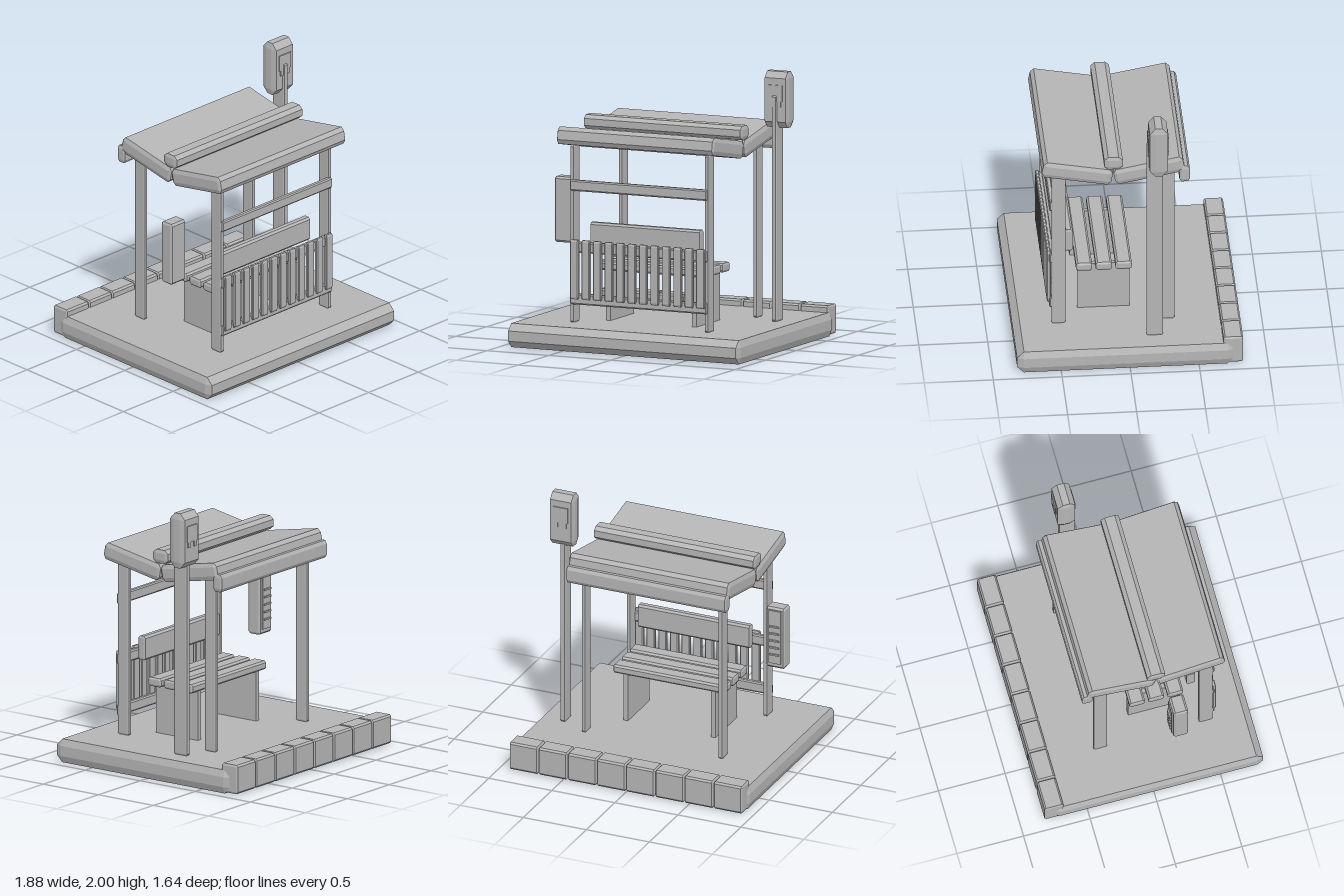
import * as THREE from 'three';
import { ConvexGeometry } from 'three/addons/geometries/ConvexGeometry.js';

// Box with chamfered edges; the chamfer may differ along each axis
function chamferBox(w, h, d, bx, by, bz) {
  const pts = [];
  for (const sx of [-1, 1]) for (const sy of [-1, 1]) for (const sz of [-1, 1]) {
    const x = w / 2, y = h / 2, z = d / 2;
    pts.push(new THREE.Vector3(sx * x, sy * (y - by), sz * (z - bz)));
    pts.push(new THREE.Vector3(sx * (x - bx), sy * y, sz * (z - bz)));
    pts.push(new THREE.Vector3(sx * (x - bx), sy * (y - by), sz * z));
  }
  return new ConvexGeometry(pts);
}

export function createModel() {
  const root = new THREE.Group();
  root.name = 'busShelter';
  const grey = new THREE.MeshStandardMaterial({ color: 0xb4b4b4 });
  grey.name = 'plain grey';

  // Part given by its extents, with an optional chamfer [bx, by, bz]
  function part(name, [x0, x1], [y0, y1], [z0, z1], bevel) {
    const w = x1 - x0, h = y1 - y0, d = z1 - z0;
    const geo = bevel ? chamferBox(w, h, d, ...bevel) : new THREE.BoxGeometry(w, h, d);
    const mesh = new THREE.Mesh(geo, grey);
    mesh.name = name;
    mesh.position.set((x0 + x1) / 2, (y0 + y1) / 2, (z0 + z1) / 2);
    root.add(mesh);
    return mesh;
  }

  // Pavement slab and kerb stones
  part('pavement', [-0.938, 0.938], [0, 0.175], [-0.755, 0.82], [0.02, 0.05, 0.05]);
  for (let i = 0; i < 8; i++) {
    const x = -0.925 + i * 0.2315;
    part('kerbStone', [x, x + 0.224], [0.01, 0.225], [-0.82, -0.678], [0.007, 0.014, 0.012]);
  }

  // Four posts
  for (const s of [-1, 1]) {
    const x = [s * 0.543 - 0.016, s * 0.543 + 0.016];
    part('frontPost', x, [0.175, 1.47], [0.44, 0.54], [0.004, 0.01, 0.01]);
    part('backPost', x, [0.175, 1.47], [-0.35, -0.25], [0.004, 0.01, 0.01]);
  }

  // Front rails and slatted panel
  part('topRail', [-0.553, 0.551], [1.14, 1.22], [0.52, 0.557], [0.006, 0.01, 0.007]);
  part('panelRail', [-0.553, 0.551], [0.69, 0.77], [0.52, 0.557], [0.006, 0.01, 0.007]);
  part('panelRail', [-0.553, 0.551], [0.31, 0.39], [0.52, 0.557], [0.006, 0.01, 0.007]);
  for (let i = 0; i < 12; i++) {
    const x = -0.51 + i * 0.0925;
    part('panelSlat', [x - 0.033, x + 0.033], [0.35, 0.785], [0.545, 0.574], [0.006, 0.014, 0.006]);
  }

  // Bench with backrest
  part('backrest', [-0.447, 0.443], [0.72, 0.9], [0.378, 0.442], [0.005, 0.015, 0.015]);
  for (const z of [-0.05, 0.094, 0.237]) {
    part('seatSlat', [-0.445, 0.445], [0.54, 0.605], [z, z + 0.117], [0.008, 0.014, 0.014]);
  }
  for (const s of [-1, 1]) {
    part('benchLeg', [s * 0.347 - 0.018, s * 0.347 + 0.018], [0.17, 0.55], [-0.04, 0.34]);
  }

  // Inward sloping roof halves, middle ridge and rear gutter
  for (const s of [-1, 1]) {
    const z = 0.099 + s * 0.26;
    const half = part('roofHalf', [-0.635, 0.635], [1.44, 1.567], [z - 0.256, z + 0.256], [0.012, 0.03, 0.022]);
    half.rotation.x = -s * 0.187;
  }
  part('ridge', [-0.64, 0.638], [1.533, 1.634], [0.03, 0.165], [0.008, 0.025, 0.03]);
  part('gutter', [-0.635, 0.635], [1.4, 1.53], [-0.457, -0.38], [0.008, 0.025, 0.015]);

  // Timetable box with a thin sheet and printed lines on its back
  part('timetableBox', [-0.81, -0.665], [0.71, 1.19], [0.18, 0.29], [0.01, 0.015, 0.015]);
  part('timetableSheet', [-0.785, -0.69], [0.75, 1.17], [0.17, 0.179]);
  for (let i = 0; i < 5; i++) {
    const y = 0.823 + i * 0.0555;
    part('timetableLine', [-0.775, -0.7], [y - 0.006, y + 0.006], [0.158, 0.17]);
  }

  // Stop sign on its pole, with a vehicle symbol on both faces
  part('signPole', [0.734, 0.773], [0.175, 1.83], [-0.25, -0.132], [0.005, 0.012, 0.01]);
  part('signBox', [0.66, 0.85], [1.59, 2], [-0.281, -0.149], [0.012, 0.045, 0.04]);
  for (const s of [-1, 1]) {
    const face = -0.215 + s * 0.07;
    part('symbolBody', [0.698, 0.814], [1.785, 1.905], [face - 0.0045, face + 0.0045]);
    for (const x of [0.722, 0.79]) {
      part('symbolWheel', [x - 0.013, x + 0.013], [1.743, 1.79], [face - 0.0045, face + 0.0045]);
    }
  }
  return root;
}
